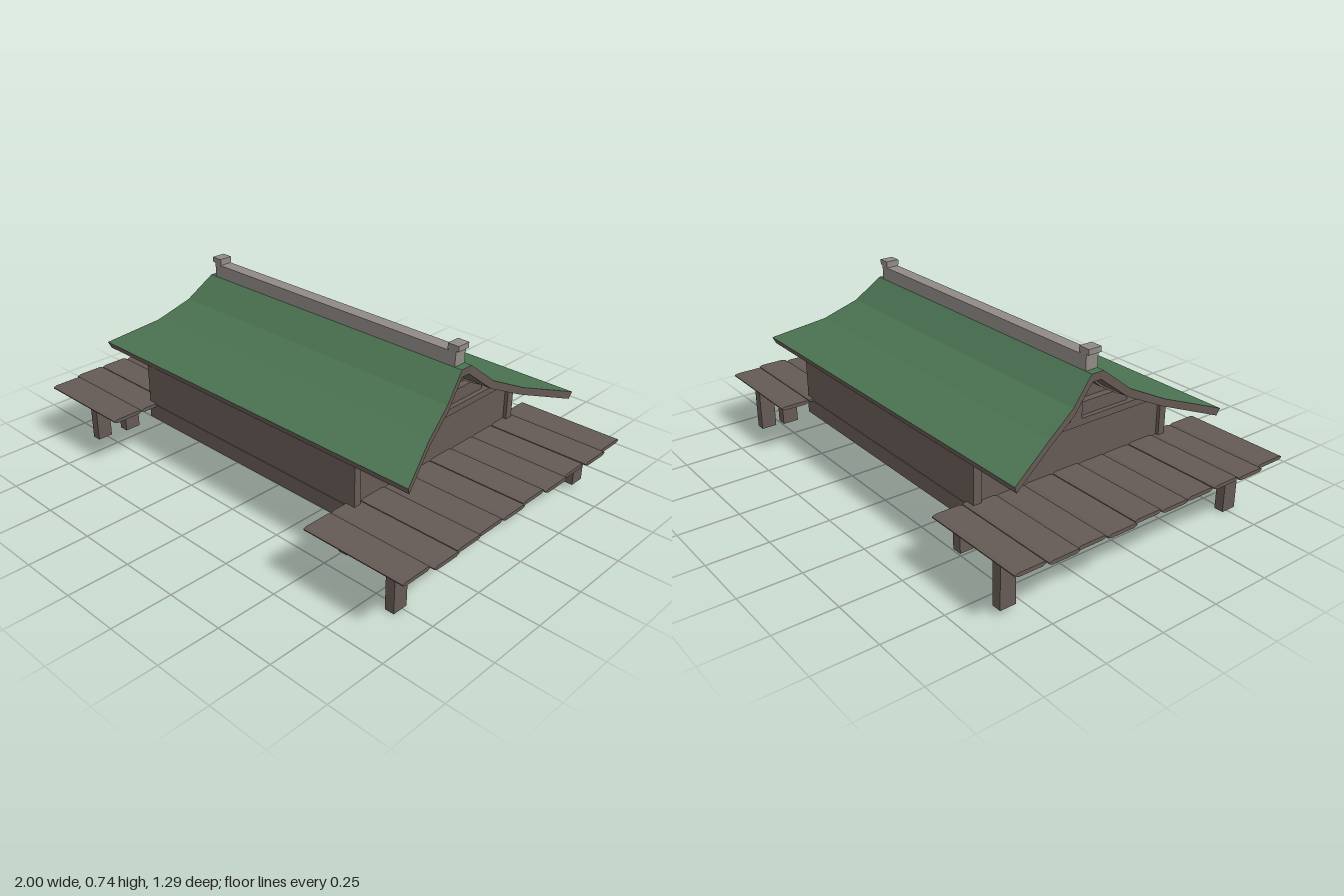
import * as THREE from 'three';

const mat = (name, color) => Object.assign(new THREE.MeshStandardMaterial({ color }), { name });

export function createModel() {
  const wood = mat('weathered wood', 0x655a55);
  const green = mat('green roofing', 0x4b7352);
  const stone = mat('grey ridge', 0x8f8a86);
  const model = new THREE.Group();
  model.name = 'shrineHall';

  const add = (name, geometry, material) => {
    const mesh = new THREE.Mesh(geometry, material);
    mesh.name = name;
    model.add(mesh);
    return mesh;
  };
  // Box given by its limits on each axis
  const box = (name, material, x0, x1, y0, y1, z0, z1) =>
    add(name, new THREE.BoxGeometry(x1 - x0, y1 - y0, z1 - z0), material)
      .position.set((x0 + x1) / 2, (y0 + y1) / 2, (z0 + z1) / 2);
  // Same box on both ends of the building
  const pair = (name, material, x0, x1, ...rest) => {
    box(name + 'Left', material, x0, x1, ...rest);
    box(name + 'Right', material, -x1, -x0, ...rest);
  };
  const shapeOf = (pts) => new THREE.Shape(pts.map(([a, b]) => new THREE.Vector2(a, b)));
  // Extrude a (z, y) outline along x, ending at x1
  const alongX = (shape, depth, x1) =>
    new THREE.ExtrudeGeometry(shape, { depth, bevelEnabled: false }).rotateY(-Math.PI / 2).translate(x1, 0, 0);
  const quads = (list) => {
    const pos = [];
    for (const [a, b, c, d] of list) pos.push(...a, ...b, ...c, ...a, ...c, ...d);
    const g = new THREE.BufferGeometry();
    g.setAttribute('position', new THREE.Float32BufferAttribute(pos, 3));
    g.computeVertexNormals();
    return g;
  };

  // Hall walls, sill and corner posts
  box('hallWalls', wood, -0.565, 0.565, 0.18, 0.41, -0.5, 0.43);
  box('floorSill', wood, -0.58, 0.58, 0.17, 0.235, -0.505, 0.435);
  box('frontWall', wood, -0.58, 0.58, 0.235, 0.41, 0.4, 0.432);
  box('backWall', wood, -0.58, 0.58, 0.235, 0.41, -0.502, -0.467);

  // Curved roof: half-width, height and depth from front eave to back eave
  const top = [
    [0.83, 0.435, 0.448], [0.745, 0.5, 0.24], [0.708, 0.565, 0.1], [0.68, 0.655, -0.01],
    [0.68, 0.655, -0.066], [0.708, 0.565, -0.172], [0.745, 0.5, -0.312], [0.83, 0.435, -0.525],
  ];
  const under = [
    [0.825, 0.407, 0.436], [0.742, 0.472, 0.232], [0.705, 0.535, 0.09], [0.677, 0.622, -0.018],
    [0.677, 0.622, -0.058], [0.705, 0.535, -0.162], [0.742, 0.472, -0.304], [0.825, 0.407, -0.513],
  ];
  const L = ([x, y, z]) => [-x, y, z];
  const roofTop = [];
  const roofRest = [];
  for (let i = 0; i < top.length - 1; i++) {
    const [a, b, c, d] = [top[i], top[i + 1], under[i], under[i + 1]];
    roofTop.push([L(a), a, b, L(b)]);
    roofRest.push([L(d), d, c, L(c)], [c, d, b, a], [L(a), L(b), L(d), L(c)]);
  }
  const e = top.length - 1;
  roofRest.push([L(under[0]), under[0], top[0], L(top[0])]);
  roofRest.push([L(top[e]), top[e], under[e], L(under[e])]);
  add('roofCovering', quads(roofTop), green);
  add('roofUnderside', quads(roofRest), wood);

  // Gable frames with two openings, and set-back panels behind them
  const gable = shapeOf([[0.43, 0.405], ...under.map(([, y, z]) => [z, y + 0.005]), [-0.5, 0.405]]);
  const opening = [[-0.01, 0.432], [0.285, 0.432], [0.16, 0.485], [0.075, 0.535], [-0.01, 0.61]];
  const frame = gable.clone();
  frame.holes.push(
    new THREE.Path(shapeOf(opening).getPoints()),
    new THREE.Path(shapeOf(opening.map(([z, y]) => [-0.075 - z, y])).getPoints()),
  );
  for (const [side, x1, panelX] of [['Left', 0.58, 0.53], ['Right', -0.545, -0.51]]) {
    add('gableFrame' + side, alongX(frame, 0.035, x1), wood);
    add('gablePanel' + side, alongX(gable, 0.02, panelX), wood);
  }
  pair('gableLedge', wood, 0.52, 0.56, 0.41, 0.485, -0.31, 0.235);

  // Ridge beam with end caps
  box('ridgeBeam', stone, -0.648, 0.648, 0.64, 0.712, -0.066, -0.01);
  pair('ridgeCapNeck', stone, 0.615, 0.65, 0.7, 0.722, -0.066, -0.01);
  pair('ridgeCap', stone, 0.612, 0.662, 0.718, 0.74, -0.067, -0.009);

  // Side decks: ten bevelled planks each
  const cuts = [-0.648, -0.52, -0.39, -0.265, -0.13, -0.005, 0.122, 0.255, 0.38, 0.508, 0.643];
  const outer = [0.985, 1, 0.988, 0.997, 0.986, 0.992, 0.988, 0.995, 1, 0.982];
  for (let i = 0; i < 10; i++) {
    const [a, b] = [cuts[i], cuts[i + 1]];
    const lift = i % 3 === 1 ? 0.003 : 0;
    const plank = shapeOf([
      [a, 0.232], [a + 0.015, 0.226], [b - 0.015, 0.226], [b, 0.232],
      [b, 0.236], [b - 0.015, 0.241], [a + 0.015, 0.241], [a, 0.236],
    ].map(([z, y]) => [z, y + lift]));
    const length = outer[i] - 0.54;
    add('deckPlankLeft', alongX(plank, length, outer[i]), wood);
    add('deckPlankRight', alongX(plank, length, -0.54), wood);
  }

  // Deck legs: tall outer ones and short inner ones
  for (const [end, z, foot] of [['Front', 0.51, 0], ['Back', -0.578, 0.022]]) {
    pair('outerLeg' + end, wood, 0.827, 0.867, foot, 0.228, z - 0.033, z + 0.033);
    pair('innerLeg' + end, wood, 0.61, 0.65, 0.13, 0.228, z - 0.033, z + 0.033);
  }
  return model;
}
